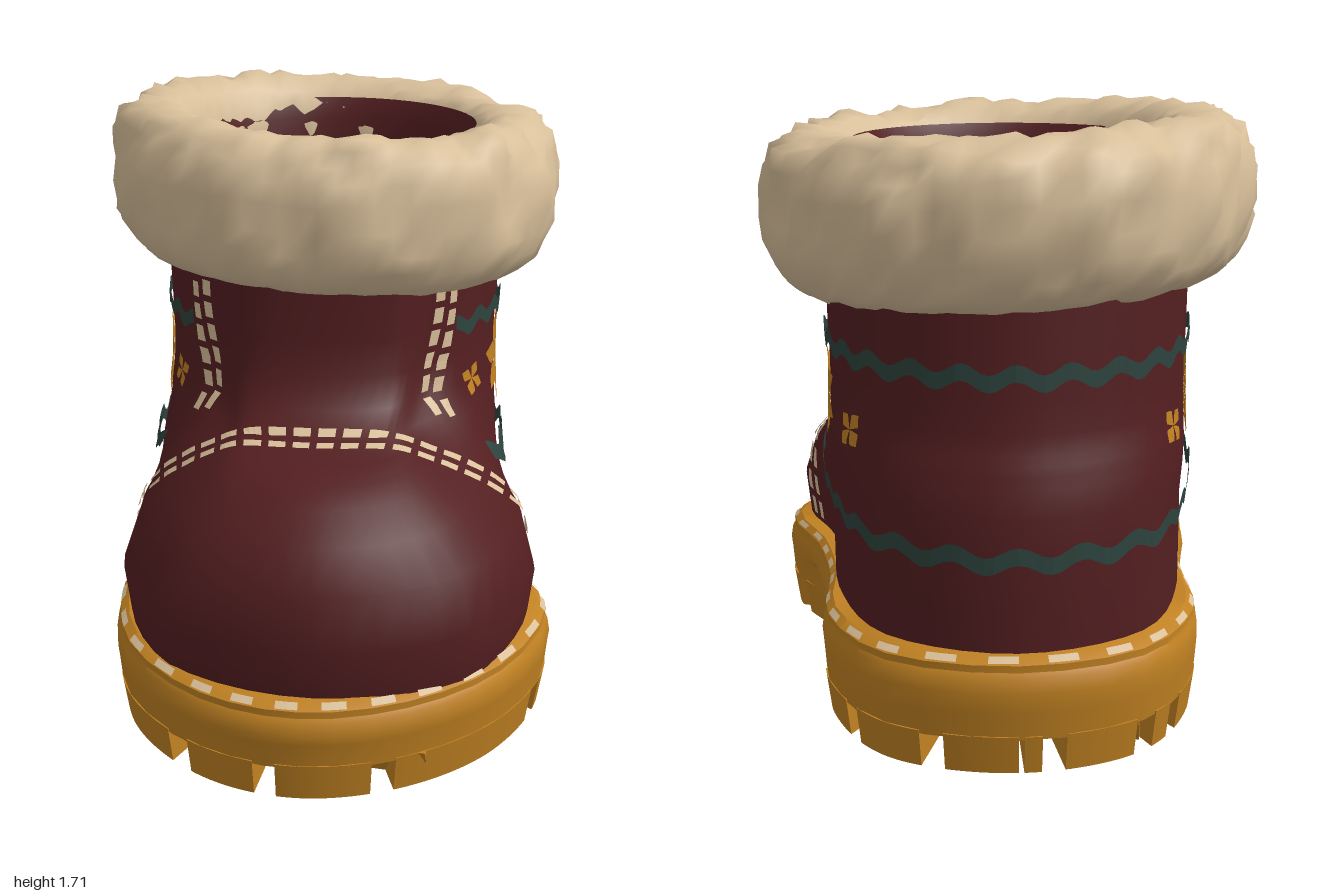
import * as THREE from 'three';
import { toCreasedNormals } from 'three/addons/utils/BufferGeometryUtils.js';

const V = (x, y, z) => new THREE.Vector3(x, y, z);
const mat = (name, color, side = THREE.FrontSide) =>
  Object.assign(new THREE.MeshStandardMaterial({ color, side }), { name });

// Closed rings of equal length, joined in order
function loft(rings, closed = false) {
  const n = rings[0].length, m = rings.length, pos = [], idx = [];
  rings.forEach(r => r.forEach(p => pos.push(p.x, p.y, p.z)));
  for (let j = 0; j < (closed ? m : m - 1); j++) {
    for (let i = 0; i < n; i++) {
      const k = (i + 1) % n, u = ((j + 1) % m) * n, b = j * n;
      idx.push(b + i, u + i, b + k, u + i, u + k, b + k);
    }
  }
  const g = new THREE.BufferGeometry();
  g.setAttribute('position', new THREE.Float32BufferAttribute(pos, 3));
  g.setIndex(idx);
  g.computeVertexNormals();
  return g;
}

// Closed smooth curve through [x, z] points, sampled flat
const curve = (pts, n) =>
  new THREE.CatmullRomCurve3(pts.map(([x, z]) => V(x, 0, z)), true).getPoints(n).slice(0, n);

const ellipse = (rx, rz, y, n = 48) => Array.from({ length: n }, (_, i) => {
  const a = i / n * Math.PI * 2;
  return V(rx * Math.sin(a), y, -0.285 - rz * Math.cos(a));
});

// Repeatable noise in -1..1 for a grid cell
function hash(i, j) {
  let h = Math.imul(i + 17, 374761393) ^ Math.imul(j + 31, 668265263);
  h = Math.imul(h ^ (h >>> 13), 1274126177);
  return ((h ^ (h >>> 16)) >>> 0) / 2147483648 - 1;
}

export function createModel() {
  const boot = new THREE.Group();
  boot.name = 'winterBoot';
  const leather = mat('darkRedLeather', 0x531e20), rubber = mat('ochreRubber', 0xc08122);
  const fur = mat('creamFur', 0xd8bf9a), lining = mat('plumLining', 0x3d0922);
  const thread = mat('creamThread', 0xd8bf9a, THREE.DoubleSide);
  const gold = mat('goldPattern', 0xc08122, THREE.DoubleSide);
  const teal = mat('tealBand', 0x2d433d, THREE.DoubleSide);
  const add = (name, geo, m) => {
    const mesh = new THREE.Mesh(geo, m);
    mesh.name = name;
    boot.add(mesh);
    return mesh;
  };

  // Sole slab, pinched at the waist near the ground
  const outline = [[0, -1], [0.36, -0.89], [0.53, -0.6], [0.545, -0.25], [0.6, 0.05], [0.7, 0.35],
    [0.56, 0.7], [0.3, 0.92], [0, 1], [-0.28, 0.92], [-0.53, 0.66], [-0.615, 0.3], [-0.57, 0],
    [-0.545, -0.25], [-0.53, -0.6], [-0.35, -0.89]];
  const pinch = p => p.x * (1 - (p.x > 0 ? 0.1 : 0.18) * Math.exp(-(((p.z + 0.1) / 0.2) ** 2)));
  const soleRing = (y, s, n = 48) => curve(outline, n).map(p =>
    V((y < 0.2 ? pinch(p) : p.x) * s, y + (y > 0.2 ? -p.z * 0.018 : 0), p.z * s));
  const slab = loft([soleRing(0.11, 0), soleRing(0.11, 0.985), soleRing(0.19, 0.995), soleRing(0.23, 1),
    soleRing(0.27, 0.99), soleRing(0.282, 0.98), soleRing(0.302, 0.98), soleRing(0.32, 0.945),
    soleRing(0.32, 0)]);
  add('sole', toCreasedNormals(slab, 0.6), rubber);

  // Rim lugs: runs of the outline between notches
  const notched = p => [0.5, 0.23, -0.5, -0.77].some(z => Math.abs(p.z - z) < 0.024) ||
    (Math.abs(p.z) > 0.8 && [-0.36, -0.1, 0.24].some(x => Math.abs(p.x - x) < 0.024));
  const runs = [[]];
  curve(outline, 360).forEach(p => {
    if (!notched(p)) runs[runs.length - 1].push(p);
    else if (runs[runs.length - 1].length) runs.push([]);
  });
  runs.filter(r => r.length > 2).forEach(run => {
    const at = s => run.map(p => new THREE.Vector2(pinch(p) * s, p.z * s));
    const shape = new THREE.Shape([...at(0.988), ...at(0.8).reverse()]);
    const g = new THREE.ExtrudeGeometry(shape, { depth: 0.11, bevelEnabled: false });
    g.rotateX(Math.PI / 2).translate(0, 0.12, 0);
    const p = g.attributes.position;
    for (let i = 0; i < p.count; i++) {
      if (p.getY(i) < 0.05) p.setXYZ(i, p.getX(i) * 0.975, p.getY(i), p.getZ(i) * 0.985);
    }
    g.computeVertexNormals();
    add('rimLug', g, rubber);
  });

  // Slanted tread ridges across the underside, [z, half length]
  [[0.74, 0.34], [0.56, 0.44], [0.38, 0.52], [0.2, 0.5], [0.02, 0.43], [-0.16, 0.41],
    [-0.34, 0.42], [-0.52, 0.44], [-0.7, 0.38]].forEach(([z, half]) => {
    const profile = new THREE.Shape([[-0.1, 0.12], [-0.045, 0.014], [0.035, 0.014], [0.1, 0.12]]
      .map(p => new THREE.Vector2(...p)));
    const g = new THREE.ExtrudeGeometry(profile, { depth: half * 2, bevelEnabled: false });
    g.translate(0, 0, -half).rotateY(Math.PI / 2 - 0.17).translate(0.025, 0, z);
    add('treadRidge', g, rubber);
  });

  // Upper: rows of height, back, heel width, waist width, toe width, toe centre, front
  const rows = [
    [0.28, -0.94, 0.5, 0.52, 0.59, 0.4, 0.93], [0.45, -0.94, 0.5, 0.53, 0.61, 0.4, 0.96],
    [0.6, -0.93, 0.5, 0.535, 0.56, 0.36, 0.92], [0.7, -0.92, 0.51, 0.515, 0.465, 0.35, 0.84],
    [0.77, -0.9, 0.515, 0.48, 0.38, 0.35, 0.74], [0.805, -0.885, 0.515, 0.465, 0.33, 0.34, 0.68],
    [0.83, -0.88, 0.515, 0.455, 0.3, 0.33, 0.58], [0.855, -0.865, 0.515, 0.44, 0.28, 0.3, 0.46],
    [0.91, -0.85, 0.515, 0.42, 0.3, 0.2, 0.36], [1.0, -0.84, 0.515, 0.41, 0.31, 0.17, 0.31],
    [1.1, -0.83, 0.52, 0.4, 0.31, 0.17, 0.29], [1.3, -0.81, 0.525, 0.4, 0.31, 0.17, 0.28]];
  const upper = add('upper', loft(rows.map(([y, zb, wb, wm, wt, zt, zf]) => {
    const half = [[wb * 0.7, zb + 0.15], [wb, zb + 0.54], [wm, 0.08], [wt, zt],
      [wt * 0.7, zt + (zf - zt) * 0.72]];
    const ring = [[0, zb], ...half, [0, zf], ...half.map(([x, z]) => [-x, z]).reverse()];
    const lean = 0.035 * THREE.MathUtils.clamp((0.9 - y) / 0.3, 0, 1);
    return curve(ring, 60).map(p => V(p.x + lean * THREE.MathUtils.clamp((p.z + 0.1) / 0.4, 0, 1), y, p.z));
  })), leather);

  // Fur cuff
  const cuff = [];
  for (let j = 0; j < 22; j++) {
    const a = -1.2 + j / 22 * Math.PI * 2, c = Math.cos(a), s = Math.sin(a);
    const u = Math.sign(c) * Math.abs(c) ** 0.85, v = Math.sign(s) * Math.abs(s) ** 0.88;
    cuff.push(ellipse(1, 1, 0, 80).map((p, i) => {
      const n = 0.017 * hash(i, j) + 0.014 * hash(i >> 1, (j >> 1) + 50);
      const r = 0.143 * u + n * (c > 0 ? 1 : 0.4);
      return V(p.x * (0.548 + r), 1.458 + v * 0.228 + n * 0.6 - p.x * 0.025,
        -0.28 + (p.z + 0.285) * (0.51 + r));
    }));
  }
  add('furCuff', loft(cuff, true), fur);

  // Inside of the shaft
  add('innerWall', loft([ellipse(0.44, 0.4, 1.63), ellipse(0.405, 0.37, 1.57), ellipse(0.39, 0.355, 1.45),
    ellipse(0.375, 0.345, 1.2), ellipse(0.36, 0.335, 0.95)]), leather);
  add('innerLining', loft([ellipse(0.36, 0.335, 0.95), ellipse(0.35, 0.33, 0.5), ellipse(0, 0, 0.48)]), lining);

  // Thin surface details, laid on the upper along rays
  const caster = new THREE.Raycaster();
  const lay = (from, to, lift) => {
    caster.set(from, to.clone().sub(from).normalize());
    const h = caster.intersectObject(upper)[0];
    return h ? h.point.addScaledVector(h.face.normal, lift) : null;
  };
  const strip = (out, pairs) => {
    for (let i = 0; i < pairs.length - 1; i++) {
      const [a, b] = pairs[i], [c, d] = pairs[i + 1];
      if (a && b && c && d) [a, b, c, b, d, c].forEach(p => out.push(p.x, p.y, p.z));
    }
  };
  const ribbon = (out, ray, t0, t1, n, lift = 0.008) => {
    const pairs = [];
    for (let i = 0; i <= n; i++) {
      const t = t0 + (t1 - t0) * i / n;
      pairs.push([-1, 1].map(e => lay(...ray(t, e), lift)));
    }
    strip(out, pairs);
  };
  const addFlat = (name, pos, m) => {
    const g = new THREE.BufferGeometry();
    g.setAttribute('position', new THREE.Float32BufferAttribute(pos, 3));
    g.computeVertexNormals();
    add(name, g, m);
  };
  const sideRay = (s, z, y) => [V(2 * s, y, z), V(0, y, z)];

  // Wavy bands round the back: height, slope, lift
  [['upperBand', 1.08, 0.02, 0.012], ['lowerBand', 0.665, 0.07, 0.022]].forEach(([name, y0, slope, lift]) => {
    const pos = [];
    ribbon(pos, (t, e) => {
      const a = t * 2.35;
      const y = y0 - slope * Math.cos(a) + Math.cos(t * Math.PI * 18) * 0.015 + e * 0.023;
      return [V(2 * Math.sin(a), y, -0.28 - 2 * Math.cos(a)), V(0, y, -0.28)];
    }, -1, 1, 144, lift);
    addFlat(name, pos, teal);
  });

  // Star flowers on both sides: z, y, radii, petals, petal width
  const flowers = [];
  for (const s of [-1, 1]) {
    [[-0.26, 0.9, 0.19, 0.16, 8, 0.38], [0.04, 0.91, 0.06, 0.055, 4, 0.6],
      [-0.59, 0.86, 0.065, 0.06, 4, 0.65]].forEach(([z, y, rz, ry, count, width]) => {
      for (let k = 0; k < count; k++) {
        const a = (k + 0.4) / count * Math.PI * 2;
        ribbon(flowers, (t, e) => {
          const w = e * width * Math.min(t, (1 - t) * 1.6);
          return sideRay(s, z + rz * (t * Math.cos(a) - w * Math.sin(a)),
            y + ry * (t * Math.sin(a) + w * Math.cos(a)));
        }, 0.04, 1, 7);
      }
    });
  }
  addFlat('starFlowers', flowers, gold);

  // Stitching: two rows over the toe, two up each side of the shaft
  const stitches = [];
  for (const z0 of [0.18, 0.235]) {
    for (let k = 0; k < 24; k++) {
      ribbon(stitches, (t, e) => {
        const a = Math.PI * t, z = z0 + 0.255 * Math.sin(a) ** 1.5 + e * 0.014;
        return [V(2 * Math.cos(a), 0.33 + 2 * Math.sin(a), z), V(0, 0.33, z)];
      }, (k + 0.15) / 24, (k + 0.85) / 24, 3, 0.009);
    }
  }
  for (const s of [-1, 1]) {
    for (const dz of [0, 0.036]) {
      for (let k = 0; k < 6; k++) {
        ribbon(stitches, (t, e) => sideRay(s, 0.105 + dz + 0.09 * (1 - t) ** 2 + e * 0.011, 0.84 + t * 0.4),
          (k + dz * 6) / 6, (k + dz * 6 + 0.7) / 6, 2);
      }
    }
  }
  addFlat('upperStitching', stitches, thread);

  // Stitching along the sole rim
  const rim = [], inner = soleRing(0.32, 0.958, 144), outer = soleRing(0.308, 0.979, 144);
  for (let i = 0; i < 144; i += 4) {
    strip(rim, [0, 1, 2].map(k => [outer[(i + k) % 144], inner[(i + k) % 144]]));
  }
  addFlat('soleStitching', rim, thread);

  // Stand on the ground
  boot.position.y = -0.01;
  return boot;
}
